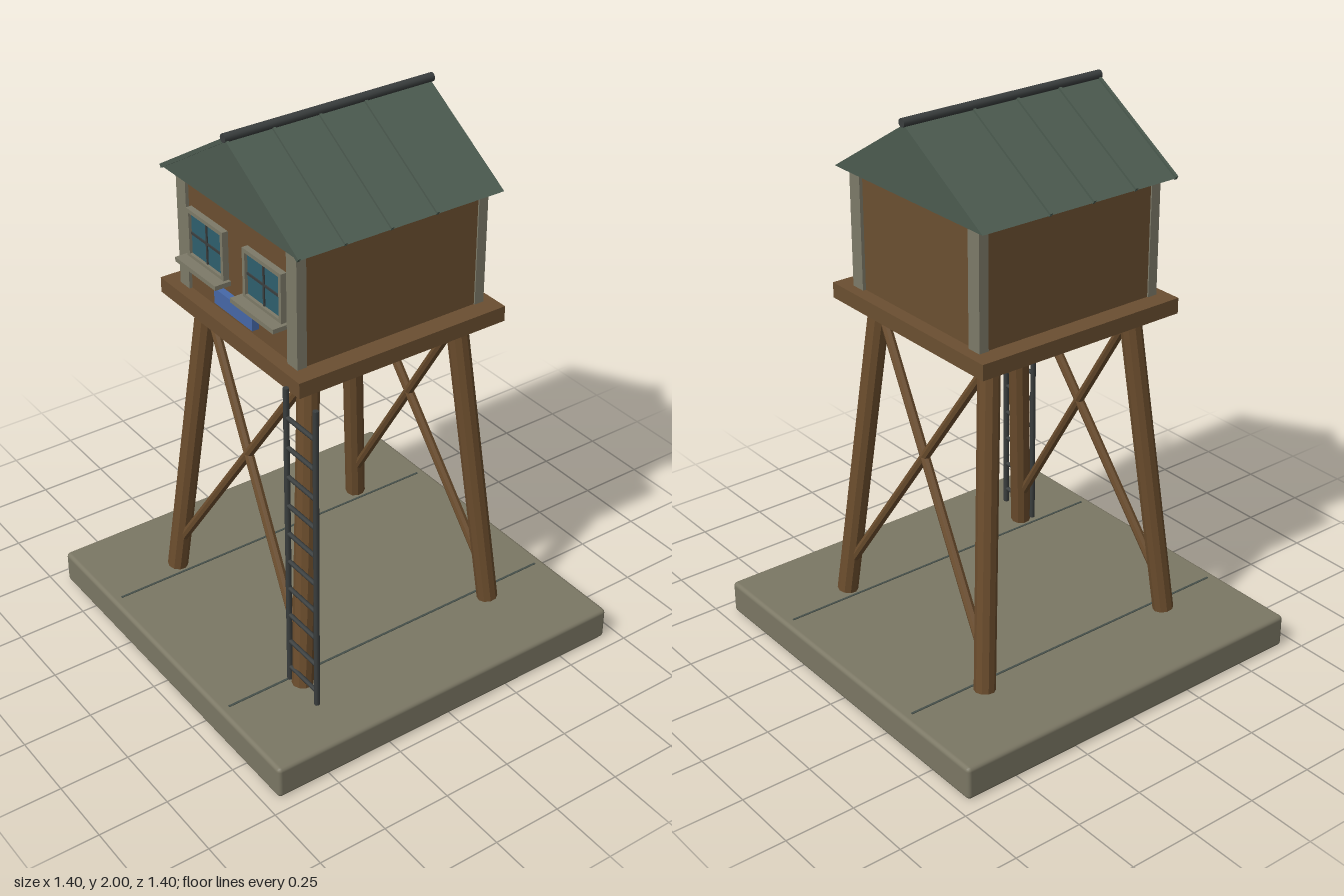
import * as THREE from 'three';
import { RoundedBoxGeometry } from 'three/addons/geometries/RoundedBoxGeometry.js';

const mat = (color, flatShading = false) => new THREE.MeshStandardMaterial({ color, flatShading });
const M = {
  stone: mat(0x7b7764), wood: mat(0x6b4d2d, true), plank: mat(0x6b4f31), trim: mat(0x7d7a68),
  roof: mat(0x4c5b50), dark: mat(0x3a3e3e), groove: mat(0x46504a), glass: mat(0x2f5f6e), sign: mat(0x4668a8),
};

export function createModel() {
  const model = new THREE.Group();
  model.name = 'watchtower';

  const add = (name, geo, material, x = 0, y = 0, z = 0, parent = model) => {
    const mesh = new THREE.Mesh(geo, material);
    mesh.name = name;
    mesh.position.set(x, y, z);
    parent.add(mesh);
    return mesh;
  };
  const box = (name, material, w, h, d, x, y, z, parent) =>
    add(name, new THREE.BoxGeometry(w, h, d), material, x, y, z, parent);
  // Round bar between two points
  const bar = (name, material, r, a, b, sides = 8, parent = model) => {
    const from = new THREE.Vector3(...a), to = new THREE.Vector3(...b);
    const dir = to.clone().sub(from);
    const mesh = add(name, new THREE.CylinderGeometry(r, r, dir.length(), sides), material, 0, 0, 0, parent);
    mesh.position.copy(from).add(to).multiplyScalar(0.5);
    mesh.quaternion.setFromUnitVectors(new THREE.Vector3(0, 1, 0), dir.normalize());
    return mesh;
  };
  const group = (name) => {
    const g = new THREE.Group();
    g.name = name;
    model.add(g);
    return g;
  };

  // Base slab with two grooves
  add('baseSlab', new RoundedBoxGeometry(1.4, 0.122, 1.4, 2, 0.015), M.stone, 0, 0.064, 0);
  for (const s of [-1, 1]) box('slabGroove', M.groove, 0.008, 0.004, 1.33, s * 0.352, 0.125, 0);

  // Splayed legs; legAt gives the leg's offset from the centre at a height
  const legAt = (y) => 0.4 - (0.107 * (y - 0.13)) / 1.14;
  const legs = group('legs');
  for (const sx of [-1, 1]) for (const sz of [-1, 1]) {
    const b = legAt(0.13), t = legAt(1.28);
    bar('leg', M.wood, 0.037, [sx * b, 0.13, sz * b], [sx * t, 1.28, sz * t], 10, legs);
  }

  // Crossed braces, front and back
  const braces = group('braces');
  for (const sz of [-1, 1]) for (const sx of [-1, 1]) {
    bar('brace', M.wood, 0.017, [-sx * 0.38, 0.25, sz * legAt(0.25)], [sx * 0.295, 1.255, sz * legAt(1.255)], 8, braces);
  }

  // Platform, cabin and corner posts
  box('platform', M.plank, 0.81, 0.055, 0.81, 0, 1.298, 0);
  box('cabinWalls', M.plank, 0.67, 0.41, 0.71, 0, 1.53, 0);
  for (const sx of [-1, 1]) for (const sz of [-1, 1]) {
    box('cornerPost', M.trim, 0.055, 0.405, 0.036, sx * 0.3125, 1.5275, sz * 0.349);
  }

  // Front windows
  for (const s of [-1, 1]) {
    const win = group('window');
    win.position.set(s * 0.163, 1.546, 0.36);
    box('glass', M.glass, 0.2, 0.16, 0.012, 0, 0, 0, win);
    for (const e of [-1, 1]) {
      box('frameSide', M.trim, 0.014, 0.176, 0.03, e * 0.1, 0, 0.002, win);
      box('frameRail', M.trim, 0.214, 0.014, 0.03, 0, e * 0.081, 0.002, win);
    }
    box('mullion', M.dark, 0.008, 0.15, 0.02, 0, 0, 0, win);
    box('crossbar', M.dark, 0.19, 0.008, 0.02, 0, 0, 0, win);
    box('sill', M.trim, 0.24, 0.016, 0.06, 0, -0.093, 0.027, win);
  }
  box('signPlate', M.sign, 0.22, 0.055, 0.026, 0, 1.386, 0.367);

  // Gable roof
  const eave = 0.388, low = 1.738, peak = 1.978;
  const gable = new THREE.Shape([[-eave, low], [eave, low], [0, peak]].map((p) => new THREE.Vector2(...p)));
  add('roof', new THREE.ExtrudeGeometry(gable, { depth: 0.78, bevelEnabled: false }), M.roof, 0, 0, -0.39);

  // Raised seams down both slopes
  const slope = Math.atan2(peak - low, eave), run = Math.hypot(eave, peak - low);
  for (const s of [-1, 1]) for (const z of [0.39, 0.22, 0.047, -0.127]) {
    const seam = box('roofSeam', M.roof, run, 0.014, 0.01, s * eave / 2, (low + peak) / 2 + 0.001, z);
    seam.rotation.z = -s * slope;
  }
  bar('ridgeCap', M.dark, 0.015, [0, 1.985, -0.398], [0, 1.985, 0.398], 12);

  // Ladder
  const ladder = group('ladder');
  for (const x of [0.366, 0.524]) bar('ladderRail', M.dark, 0.01, [x, 0.14, 0.428], [x, 1.3, 0.428], 8, ladder);
  for (let i = 0; i < 10; i++) {
    const y = 0.195 + i * 0.111;
    bar('rung', M.dark, 0.008, [0.366, y, 0.428], [0.524, y, 0.428], 8, ladder);
  }

  return model;
}
